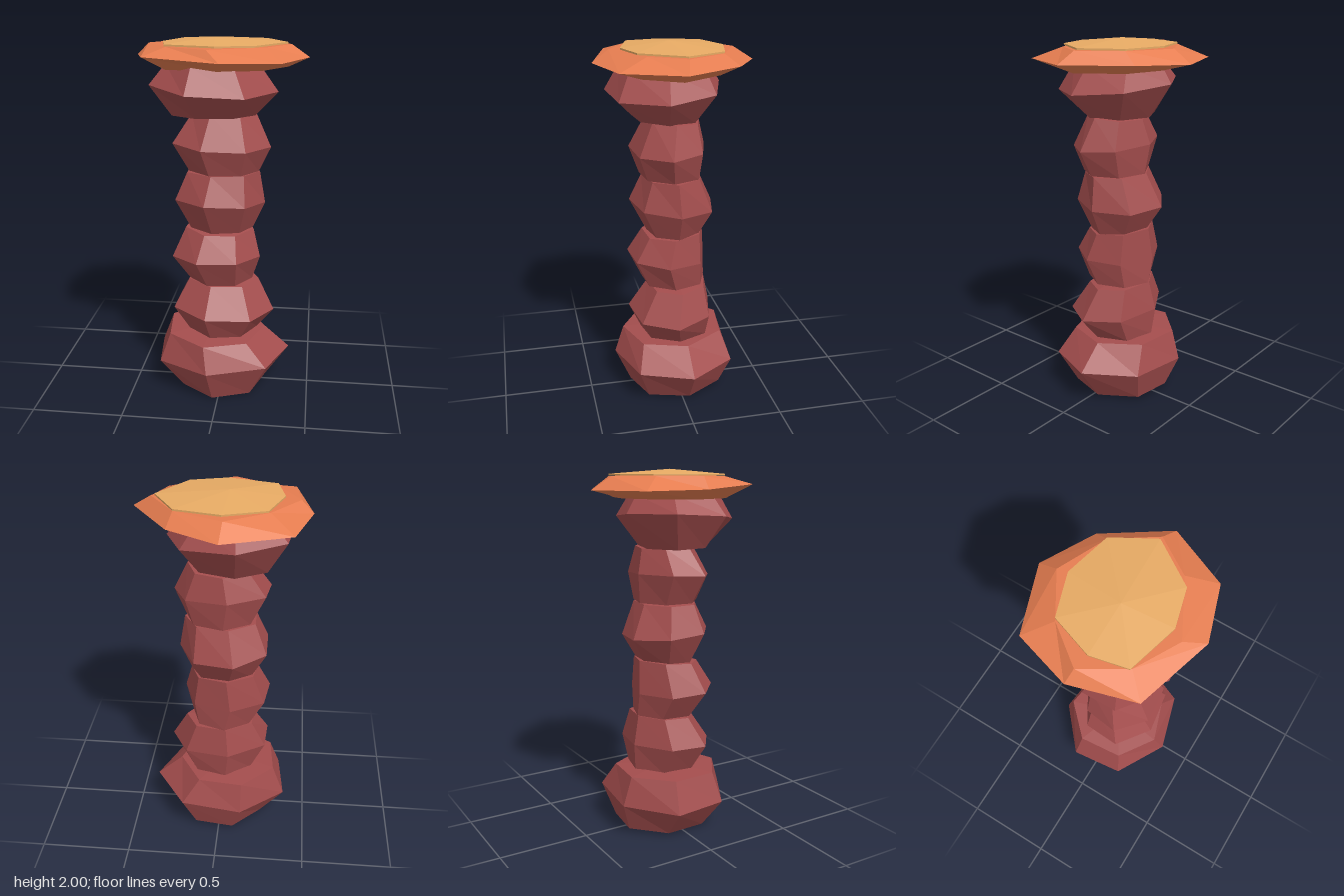
import * as THREE from 'three';

const maroon = new THREE.MeshStandardMaterial({ color: 0xa34d4d });
maroon.name = 'maroon stone';
const orange = new THREE.MeshStandardMaterial({ color: 0xe67d50 });
orange.name = 'orange stone';
const tan = new THREE.MeshStandardMaterial({ color: 0xecae66 });
tan.name = 'tan stone';

// Closed faceted solid through stacked rings of [x, y, z] points, bottom to top
function loft(name, rings, material, bottomCentre, topCentre) {
  const n = rings[0].length;
  const pos = [];
  const tri = (a, b, c) => pos.push(...a, ...b, ...c);
  for (let r = 0; r < rings.length - 1; r++) {
    for (let i = 0; i < n; i++) {
      const j = (i + 1) % n;
      const lo = rings[r], hi = rings[r + 1];
      tri(lo[i], hi[i], hi[j]);
      tri(lo[i], hi[j], lo[j]);
    }
  }
  const first = rings[0], last = rings[rings.length - 1];
  for (let i = 0; i < n; i++) {
    const j = (i + 1) % n;
    tri(bottomCentre, first[i], first[j]);
    tri(topCentre, last[j], last[i]);
  }
  const geometry = new THREE.BufferGeometry();
  geometry.setAttribute('position', new THREE.Float32BufferAttribute(pos, 3));
  geometry.computeVertexNormals(); // unshared corners keep every facet flat
  const mesh = new THREE.Mesh(geometry, material);
  mesh.name = name;
  return mesh;
}

// Seven-sided ring stretched to the given bounds; height tilts from left to right and back to front
function ring([x0, x1, z0, z1, yMin, yMax, yBack = 0, yFront = 0], turn) {
  const angles = Array.from({ length: 7 }, (_, i) => turn + (i / 7) * Math.PI * 2);
  const xs = angles.map(Math.cos), zs = angles.map(Math.sin);
  const fraction = (list, i) => THREE.MathUtils.inverseLerp(Math.min(...list), Math.max(...list), list[i]);
  return angles.map((_, i) => {
    const u = fraction(xs, i), v = fraction(zs, i);
    return [
      THREE.MathUtils.lerp(x0, x1, u),
      THREE.MathUtils.lerp(yMin, yMax, u) + THREE.MathUtils.lerp(yBack, yFront, v),
      THREE.MathUtils.lerp(z0, z1, v),
    ];
  });
}

// Middle of a ring, pushed up or down to dome the end of a drum
function centre(points, lift) {
  const mean = (k) => points.reduce((s, p) => s + p[k], 0) / points.length;
  return [mean(0), mean(1) + lift, mean(2)];
}

// Lower, widest and upper ring of each drum: x range, z range, heights
const drums = [
  { name: 'base', turn: -0.1, rings: [
    [-0.24, 0.25, -0.27, 0.26, 0.025, 0.025, 0, -0.02], [-0.375, 0.385, -0.33, 0.345, 0.18, 0.21], [-0.31, 0.24, -0.28, 0.29, 0.345, 0.335, 0.01, -0.005]] },
  { name: 'drum1', turn: 0.04, rings: [
    [-0.18, 0.2, -0.2, 0.19, 0.345, 0.35], [-0.265, 0.295, -0.215, 0.255, 0.5, 0.475, 0.01, -0.01], [-0.185, 0.205, -0.18, 0.15, 0.655, 0.645, 0.01, -0.01]] },
  { name: 'drum2', turn: 0.12, rings: [
    [-0.18, 0.17, -0.18, 0.175, 0.66, 0.66], [-0.27, 0.215, -0.185, 0.25, 0.81, 0.815, -0.02, 0], [-0.2, 0.175, -0.17, 0.17, 0.965, 0.955, 0.015, -0.01]] },
  { name: 'drum3', turn: 0, rings: [
    [-0.165, 0.17, -0.14, 0.15, 0.955, 0.96], [-0.25, 0.235, -0.23, 0.24, 1.13, 1.11, -0.02, 0.01], [-0.185, 0.205, -0.145, 0.175, 1.285, 1.285]] },
  { name: 'drum4', turn: 0.1, rings: [
    [-0.175, 0.2, -0.155, 0.185, 1.292, 1.29], [-0.26, 0.265, -0.175, 0.235, 1.45, 1.43, 0.01, -0.01], [-0.16, 0.185, -0.14, 0.15, 1.605, 1.605, -0.02, 0.005]] },
  { name: 'neck', turn: 0.1, rings: [
    [-0.26, 0.18, -0.14, 0.215, 1.595, 1.6, -0.01, 0.005], [-0.37, 0.3, -0.27, 0.35, 1.78, 1.74, 0.01, -0.03], [-0.285, 0.195, -0.21, 0.275, 1.87, 1.87]] },
];

// Plan outlines of the capital, ordered from +x towards +z
const capBottom = [[0.345, 0.02], [0.22, 0.21], [0, 0.27], [-0.27, 0.22], [-0.37, -0.01], [-0.27, -0.2], [-0.02, -0.26], [0.19, -0.2]];
const capRim = [
  [0.455, 1.9, 0.025], [0.32, 1.9, 0.335], [0.03, 1.908, 0.432], [-0.37, 1.922, 0.32],
  [-0.46, 1.9, -0.015], [-0.37, 1.893, -0.31], [-0.02, 1.893, -0.435], [0.245, 1.9, -0.29],
];
const capTop = [[0.36, 0], [0.24, 0.185], [-0.045, 0.335], [-0.265, 0.215], [-0.395, 0], [-0.25, -0.19], [-0.03, -0.325], [0.22, -0.21]];
const lidEdge = [[0.34, 0], [0.19, 0.225], [-0.01, 0.28], [-0.275, 0.21], [-0.315, 0.02], [-0.24, -0.197], [-0.02, -0.27], [0.22, -0.212]];

const atHeight = (outline, y) => outline.map(([x, z]) => [x, y, z]);

export function createModel() {
  const model = new THREE.Group();
  model.name = 'column';

  // Shaft: a wide base, four drums and a flared neck
  const shaft = new THREE.Group();
  shaft.name = 'shaft';
  for (const { name, turn, rings } of drums) {
    const points = rings.map((bounds) => ring(bounds, turn));
    const dip = name === 'base' ? 0 : -0.02;
    shaft.add(loft(name, points, maroon, centre(points[0], dip), centre(points[2], 0.02)));
  }
  model.add(shaft);

  // Capital: bevelled slab
  const cap = [atHeight(capBottom, 1.85), capRim, atHeight(capTop, 1.963)];
  model.add(loft('capital', cap, orange, [0, 1.85, 0], [0, 1.963, 0]));

  // Lid: thin shallow cone resting on the capital
  const lid = [atHeight(lidEdge, 1.965), atHeight(lidEdge, 1.974)];
  model.add(loft('lid', lid, tan, [0, 1.965, 0], [-0.04, 2, 0.02]));

  return model;
}
